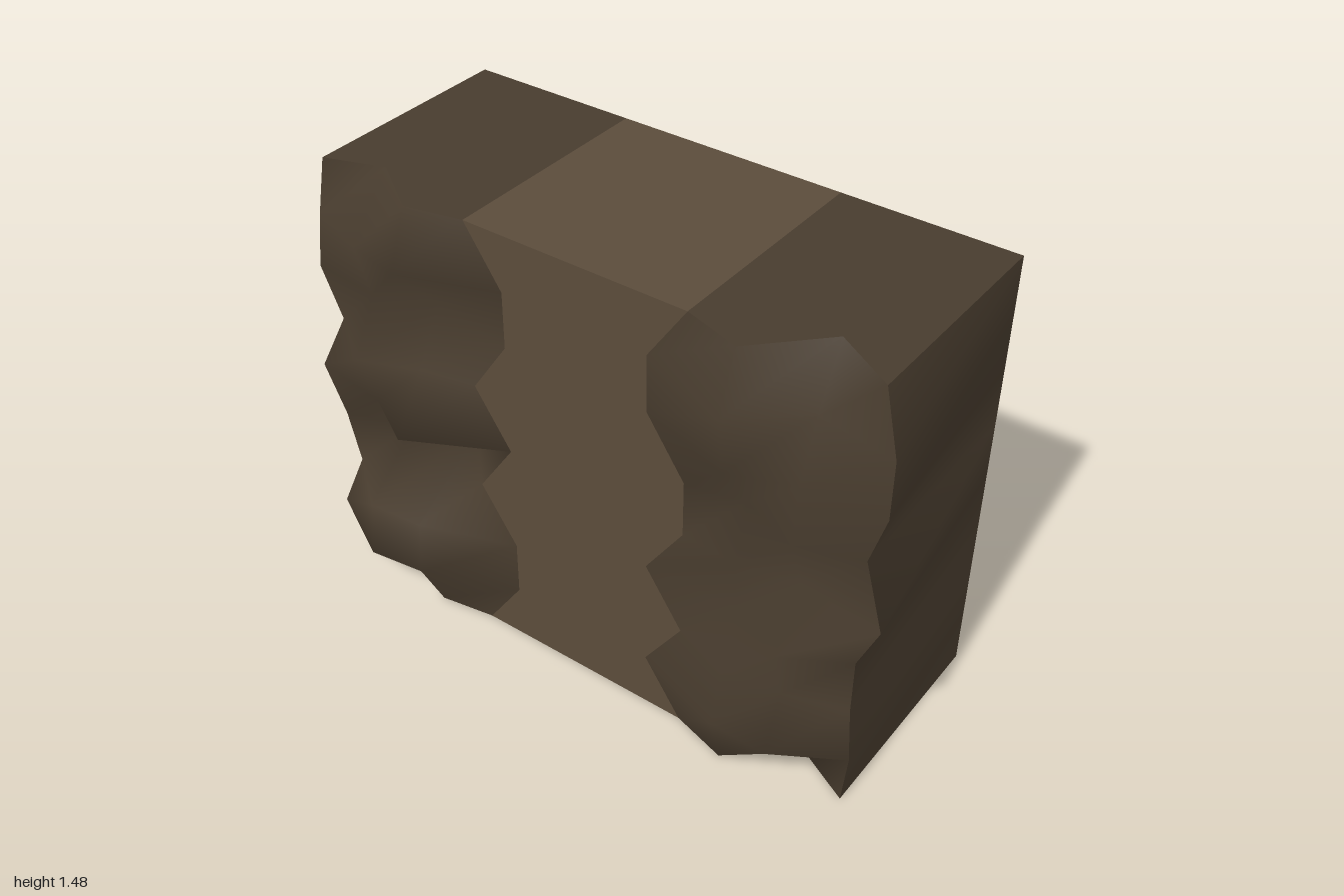
import * as THREE from 'three';

const ROWS = 8, H = 1.475, OPEN_X = 0.443, HALF = 0.922, PANEL_X = -0.29;
const DARK = 0x483c2e, LIGHT = 0x5b4c3b;
const rowY = (i) => (H * i) / ROWS;

// Per-row shape of each rough column, bottom to top, for the +z and -z sides:
// corner z, outer and middle depth (x), and the z of the panel seam.
const sides = [
  {
    sign: 1, name: 'front',
    corner: [0.922, 0.94, 0.922, 0.922, 1.0, 0.922, 0.98, 0.98, 0.922],
    outer: [-0.17, -0.395, -0.325, -0.375, -0.26, -0.33, -0.31, -0.25, -0.155],
    middle: [-0.34, -0.39, -0.345, -0.28, -0.3, -0.255, -0.385, -0.41, -0.345],
    seam: [0.37, 0.245, 0.37, 0.245, 0.37, 0.37, 0.245, 0.245, 0.37],
  },
  {
    sign: -1, name: 'back',
    corner: [0.922, 0.99, 0.922, 0.95, 1.0, 0.922, 0.97, 0.95, 0.922],
    outer: [-0.165, -0.435, -0.415, -0.2, -0.338, -0.4, -0.309, -0.36, -0.2],
    middle: [-0.32, -0.41, -0.4, -0.1, -0.445, -0.33, -0.23, -0.4, -0.33],
    seam: [0.37, 0.245, 0.245, 0.37, 0.245, 0.37, 0.245, 0.245, 0.37],
  },
];

// Smooth open sheet through rows of points
function sheet(name, rows, color) {
  const n = rows[0].length, index = [];
  for (let i = 0; i < rows.length - 1; i++) {
    for (let j = 0; j < n - 1; j++) {
      const a = i * n + j, b = a + 1, c = a + n, d = c + 1;
      index.push(a, b, d, a, d, c);
    }
  }
  const geo = new THREE.BufferGeometry();
  geo.setAttribute('position', new THREE.Float32BufferAttribute(rows.flat(2), 3));
  geo.setIndex(index);
  geo.computeVertexNormals();
  const mesh = new THREE.Mesh(geo, new THREE.MeshStandardMaterial({ color, side: THREE.DoubleSide }));
  mesh.name = name;
  return mesh;
}

// Points of one rough column at a row, from the corner to the panel seam
function roughRow(s, i) {
  const y = rowY(i), c = s.corner[i];
  return [
    [-0.265 - (c - HALF) * 0.45, y, s.sign * c],
    [s.outer[i], y, s.sign * 0.735],
    [s.middle[i], y, s.sign * 0.55],
    [PANEL_X, y, s.sign * s.seam[i]],
  ];
}

export function createModel() {
  const group = new THREE.Group();
  group.name = 'openRockBox';
  const levels = Array.from({ length: ROWS + 1 }, (_, i) => i);
  const [front, back] = sides;

  for (const s of sides) {
    const rough = levels.map((i) => roughRow(s, i));
    // Rough stone column; points run outward-facing on both sides
    group.add(sheet(s.name + 'RoughColumn', s.sign > 0 ? rough.map((r) => [...r].reverse()) : rough, DARK));

    // End wall from the rough corner to the open side
    const wall = rough.map((r, i) => {
      const edge = [OPEN_X, rowY(i), s.sign * HALF];
      return s.sign > 0 ? [r[0], edge] : [edge, r[0]];
    });
    group.add(sheet(s.name + 'EndWall', wall, DARK));

    // Dark outer parts of floor and ceiling
    for (const [i, part] of [[0, 'Floor'], [ROWS, 'Ceiling']]) {
      const inner = rough[i];
      const outer = inner.map((p) => [OPEN_X, p[1], p[2]]);
      const up = (i === ROWS) === (s.sign > 0);
      group.add(sheet(s.name + part, up ? [outer, inner] : [inner, outer], DARK));
    }
  }

  // Flat middle panel between the zigzag seams
  group.add(sheet('middlePanel', levels.map((i) => [
    [PANEL_X, rowY(i), -back.seam[i]],
    [PANEL_X, rowY(i), front.seam[i]],
  ]), LIGHT));

  // Lighter strips across floor and ceiling
  for (const [i, part] of [[0, 'middleFloor'], [ROWS, 'middleCeiling']]) {
    const y = rowY(i);
    const strip = [PANEL_X, OPEN_X].map((x) => [[x, y, -back.seam[i]], [x, y, front.seam[i]]]);
    group.add(sheet(part, i === 0 ? strip : strip.reverse(), LIGHT));
  }
  return group;
}
